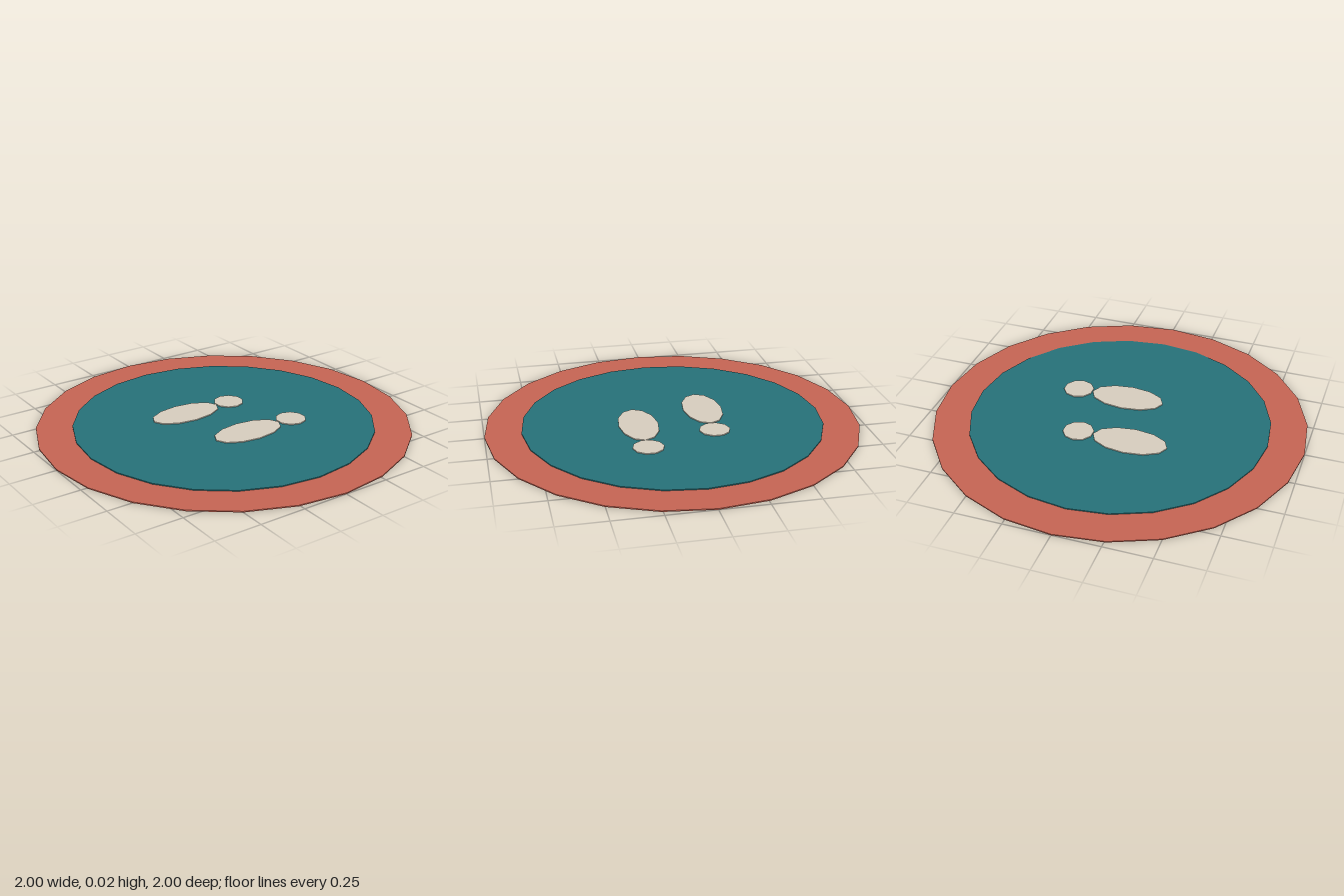
import * as THREE from 'three';

export function createModel() {
  const model = new THREE.Group();
  const material = (color) => new THREE.MeshStandardMaterial({ color, flatShading: true });
  const red = material(0xc86554);
  const teal = material(0x27727a);
  const cream = material(0xd9d0c0);

  // Flat faceted disc between two heights
  function disc(name, mat, radius, sides, bottom, top, start = 0) {
    const geometry = new THREE.CylinderGeometry(radius, radius, top - bottom, sides, 1, false, start);
    const mesh = new THREE.Mesh(geometry, mat);
    mesh.name = name;
    mesh.position.y = (bottom + top) / 2;
    return mesh;
  }

  // Round mat: outer rim disc with a raised inner field
  model.add(disc('rim', red, 1, 24, 0, 0.006));
  model.add(disc('field', teal, 0.807, 24, 0.006, 0.011));

  // Pair of footprints, the left one set further forward in its step
  function footprint(name, x, z) {
    const print = new THREE.Group();
    print.name = name;
    print.position.set(x, 0, z);
    const sole = disc('sole', cream, 1, 12, 0.011, 0.016);
    sole.scale.set(0.107, 1, 0.203);
    const toe = disc('toe', cream, 0.083, 10, 0.011, 0.016, Math.PI / 2);
    toe.position.z = -0.285;
    print.add(sole, toe);
    return print;
  }
  model.add(footprint('rightFootprint', -0.192, 0.118));
  model.add(footprint('leftFootprint', 0.19, -0.022));

  return model;
}
